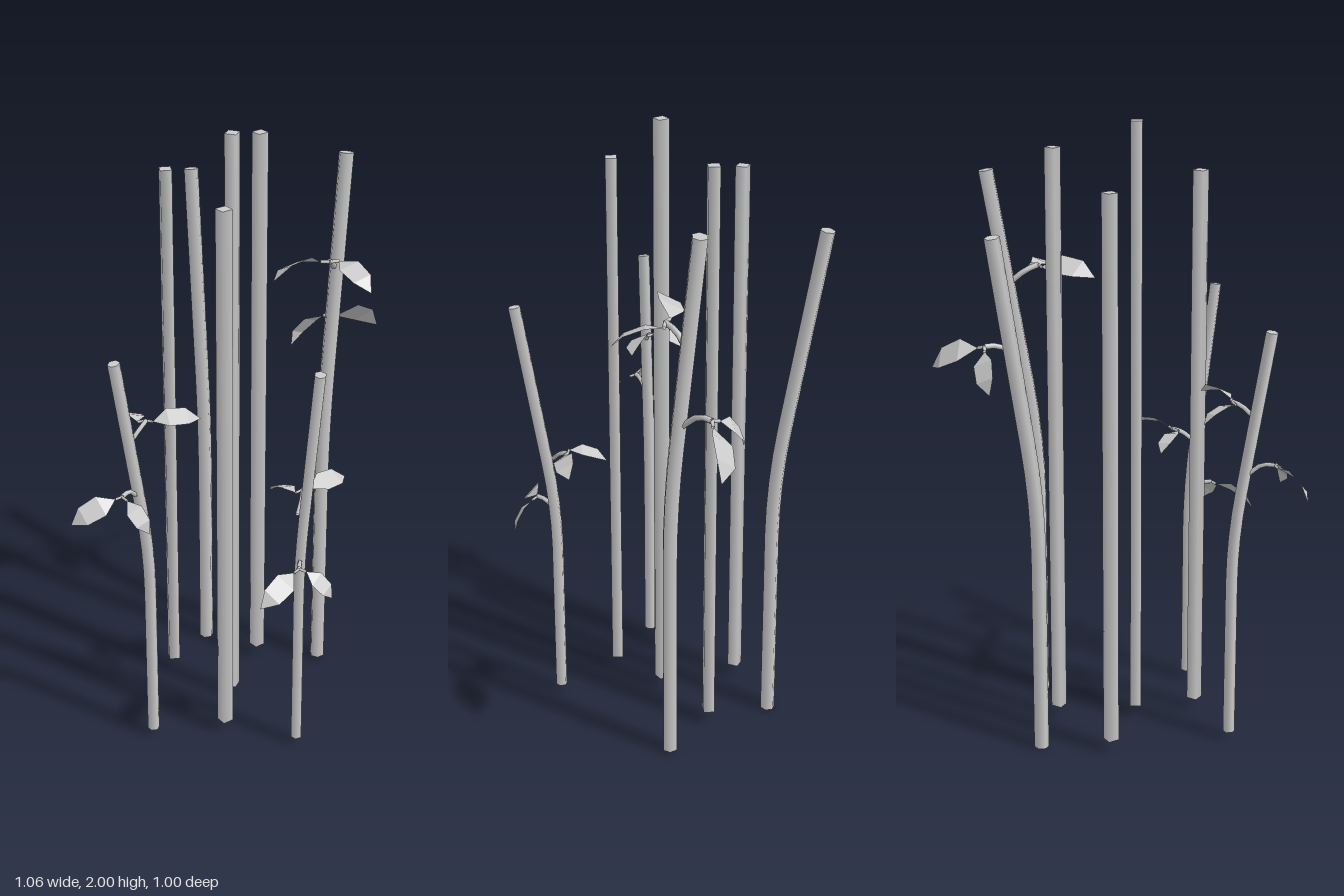
import * as THREE from 'three';

const V = (a) => new THREE.Vector3(...a);
const rad = THREE.MathUtils.degToRad;
const smooth = new THREE.MeshStandardMaterial({ color: 0xcccccc });
const thin = new THREE.MeshStandardMaterial({ color: 0xcccccc, side: THREE.DoubleSide });
const leafMat = new THREE.MeshStandardMaterial({ color: 0xcccccc, side: THREE.DoubleSide, flatShading: true });

function add(parent, name, geometry, material) {
  const mesh = new THREE.Mesh(geometry, material);
  mesh.name = name;
  parent.add(mesh);
  return mesh;
}

// Stem that rises straight, then curves and leans towards +x
function bentStemGeometry() {
  const height = 1.8, start = 0.68, end = 1.1, slope = 0.17;
  const g = new THREE.CylinderGeometry(0.025, 0.025, height, 6, 18);
  g.translate(0, height / 2, 0);
  const p = g.attributes.position;
  for (let i = 0; i < p.count; i++) {
    const x = p.getX(i), y = p.getY(i);
    const t = THREE.MathUtils.clamp((y - start) / (end - start), 0, 1);
    const lean = slope * (t * t * (end - start) / 2 + Math.max(0, y - end));
    p.setX(i, x + lean);
    p.setY(i, y - slope * t * x);
  }
  return g;
}

// Six-cornered leaf, bowed towards its normal
function leafGeometry(base, tip, normal) {
  const b = V(base), t = V(tip), n = V(normal).normalize();
  const length = b.distanceTo(t);
  const side = t.clone().sub(b).cross(n).normalize();
  const corner = (k, w) => b.clone().lerp(t, k)
    .addScaledVector(n, length * 0.13).addScaledVector(side, w * length);
  const pts = [b, corner(0.3, 0.22), corner(0.7, 0.2), t, corner(0.7, -0.2), corner(0.3, -0.22)];
  const g = new THREE.BufferGeometry().setFromPoints(pts);
  g.setIndex([0, 1, 5, 1, 2, 4, 1, 4, 5, 2, 3, 4]);
  g.computeVertexNormals();
  return g;
}

const tube = (points, r) =>
  new THREE.TubeGeometry(new THREE.CatmullRomCurve3(points.map(V)), 4, r, 5);

// Two sprigs, measured from the foot of the stem: [base, tip, normal] per leaf
const SPRIGS = [
  {
    twig: [[0.043, 1.43, -0.08], [0.018, 1.475, -0.03], [0.008, 1.492, 0.012]],
    leaves: [
      [[-0.02, 1.492, 0.01], [-0.183, 1.478, 0.123], [-0.3, 0.85, -0.35]],
      [[0.04, 1.487, -0.003], [0.124, 1.43, 0.132], [0, 0.91, 0.4]],
    ],
  },
  {
    twig: [[0.028, 1.18, -0.055], [0.037, 1.228, -0.115], [0.048, 1.23, -0.165]],
    leaves: [
      [[0.07, 1.222, -0.179], [0.221, 1.13, -0.284], [-0.13, 0.63, -0.76]],
      [[0.021, 1.222, -0.176], [-0.082, 1.105, -0.204], [-0.41, 0.52, -0.75]],
    ],
  },
];

function sprigPair() {
  const pair = new THREE.Group();
  pair.name = 'sprigPair';
  for (const { twig, leaves } of SPRIGS) {
    const sprig = new THREE.Group();
    sprig.name = 'sprig';
    add(sprig, 'twig', tube(twig, 0.01), thin);
    for (const [base, tip, normal] of leaves) {
      const end = twig[2];
      add(sprig, 'leafStalk', tube([end, base], 0.006), thin);
      add(sprig, 'leaf', leafGeometry(base, tip, normal), leafMat);
    }
    pair.add(sprig);
  }
  return pair;
}

export function createModel() {
  const model = new THREE.Group();
  model.name = 'stems';

  // Straight square stems: x, z, top, turn
  for (const [x, z, top, turn] of [
    [-0.01, 0.035, 2, -27], [0.098, -0.197, 1.92, 34],
    [-0.197, -0.147, 1.83, 5], [-0.053, 0.234, 1.84, 31],
  ]) {
    const foot = 0.045;
    const g = new THREE.CylinderGeometry(0.0255, 0.0255, top - foot, 4);
    g.rotateY(Math.PI / 4);
    const stem = add(model, 'straightStem', g, smooth);
    stem.position.set(x, (top + foot) / 2, z);
    stem.rotation.y = rad(turn);
  }

  // Bent stems: foot, scale, direction of lean
  const bent = bentStemGeometry();
  for (const [foot, scale, turn] of [
    [[-0.068, 0.002, -0.335], 0.948, 100.4],
    [[0.307, 0.01, -0.165], 1, 60.9],
    [[-0.29, 0.03, 0.235], 0.76, -143.6],
    [[0.172, 0.03, 0.325], 0.76, -72.3],
  ]) {
    const stem = add(model, 'bentStem', bent, smooth);
    stem.position.copy(V(foot));
    stem.scale.setScalar(scale);
    stem.rotation.y = rad(turn);
  }

  // Leafy sprigs on three of the bent stems: origin, scale, turn
  for (const [origin, scale, turn] of [
    [[0.307, 0.01, -0.165], 1, 0],
    [[-0.288, 0.03, 0.233], 0.76, -204.5],
    [[0.193, -0.225, 0.276], 0.77, -178],
  ]) {
    const pair = sprigPair();
    pair.position.copy(V(origin));
    pair.scale.setScalar(scale);
    pair.rotation.y = rad(turn);
    model.add(pair);
  }
  return model;
}
